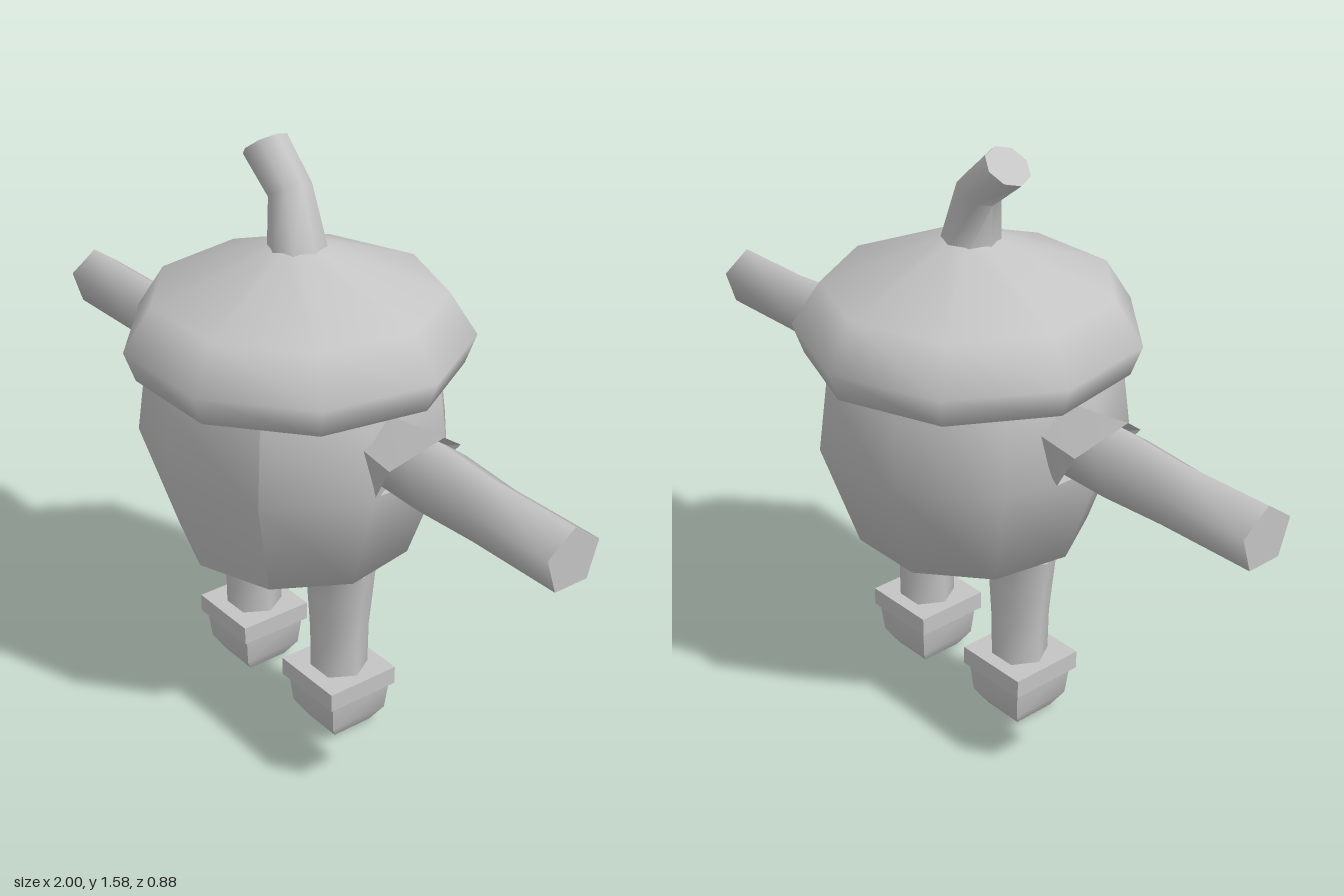
import * as THREE from 'three';
import { toCreasedNormals } from 'three/addons/utils/BufferGeometryUtils.js';

const rad = THREE.MathUtils.degToRad;
const grey = new THREE.MeshStandardMaterial({ color: 0xc4c4c4 });
grey.name = 'plain grey';

// Ring of n corners around (x, y, z), its axis tilted from +y about z (degrees)
function ring(x, y, z, r, n, tilt = 0, phase = 0) {
  const t = rad(tilt);
  return Array.from({ length: n }, (_, i) => {
    const a = rad(phase) + (i / n) * Math.PI * 2;
    const lx = r * Math.sin(a);
    return new THREE.Vector3(x + lx * Math.cos(t), y + lx * Math.sin(t), z + r * Math.cos(a));
  });
}

// Skin over successive rings, with flat caps at both ends
function loft(rings) {
  const n = rings[0].length, pos = [], idx = [];
  const first = rings[0], last = rings[rings.length - 1];
  [...rings, first, last].forEach(r => r.forEach(p => pos.push(p.x, p.y, p.z)));
  for (let k = 0; k < rings.length - 1; k++) {
    for (let i = 0; i < n; i++) {
      const j = (i + 1) % n, a = k * n + i, b = k * n + j;
      idx.push(a, b, b + n, a, b + n, a + n);
    }
  }
  const lo = rings.length * n, hi = lo + n;
  for (let i = 1; i < n - 1; i++) idx.push(lo, lo + i + 1, lo + i, hi, hi + i, hi + i + 1);
  const g = new THREE.BufferGeometry();
  g.setAttribute('position', new THREE.Float32BufferAttribute(pos, 3));
  g.setIndex(idx);
  g.computeVertexNormals();
  return g;
}

const lathe = (pts, segs, start, length) => new THREE.LatheGeometry(
  pts.map(p => new THREE.Vector2(p[0], p[1])), segs, rad(start), rad(length));

export function createModel() {
  const model = new THREE.Group();
  const add = (name, geometry, z = 0) => {
    const m = new THREE.Mesh(geometry, grey);
    m.name = name;
    m.position.z = z;
    model.add(m);
    return m;
  };

  // Nine-sided nut: rounded shell, with a creased panel over the front two sides
  const tip = [0, 0.33], low = [0.315, 0.51];
  const wall = [low, [0.415, 0.8], [0.392, 0.98], [0.37, 1.06]];
  add('shell', lathe([tip, ...wall], 7, 40, 280), 0.015);
  add('shellFrontTip', lathe([tip, low], 2, -40, 80), 0.015);
  const panel = lathe(wall, 2, -40, 80);
  panel.computeVertexNormals();
  add('shellFrontPanel', panel, 0.015);

  // Cap with a tucked-under rim
  add('cap', lathe([[0.34, 0.972], [0.425, 1.01], [0.454, 1.09], [0.38, 1.205], [0.072, 1.325], [0, 1.34]],
    9, 20, 360), 0.009);

  // Bent stem
  add('stem', toCreasedNormals(loft([
    ring(0, 1.31, 0.01, 0.078, 8),
    ring(-0.035, 1.458, 0.008, 0.058, 8, 29),
    ring(-0.142, 1.547, 0.005, 0.061, 8, 38),
  ]), rad(62)));

  for (const s of [1, -1]) {
    const side = s > 0 ? 'left' : 'right';
    const turn = -90 * s;
    const arm = (x, y, r) => ring(s * x, y, 0.01, r, 5, turn, turn);

    // Five-sided arm
    add(side + 'Arm', toCreasedNormals(loft([
      arm(0.32, 0.91, 0.088), arm(0.55, 0.91, 0.093), arm(0.73, 0.905, 0.083), arm(1, 0.905, 0.083),
    ]), rad(75)));

    // Flared shoulder cuff with a slanted, hollowed rim
    const slant = r => r.map(p => { p.x += s * 0.76 * (p.y - 0.9); return p; });
    add(side + 'ShoulderCuff', toCreasedNormals(loft([
      arm(0.32, 0.91, 0.085),
      slant(arm(0.472, 0.905, 0.118)),
      slant(arm(0.445, 0.905, 0.09)),
    ]), rad(30)));

    // Leg
    const x = 0.195 * s;
    add(side + 'Leg', loft([
      ring(x, 0.16, 0.02, 0.077, 6, 0, 30),
      ring(x, 0.3, 0.02, 0.079, 6, 0, 30),
      ring(x + 0.003 * s, 0.42, 0.02, 0.088, 6, 0, 30),
      ring(x + 0.01 * s, 0.5, 0.02, 0.09, 6, 0, 30),
    ]));

    // Square ankle band and tapered foot
    const band = add(side + 'AnkleBand', new THREE.BoxGeometry(0.216, 0.052, 0.216), 0.022);
    band.position.set(x, 0.154, 0.022);
    const square = (y, half) => ring(x, y, 0.02, half * Math.SQRT2, 4, 0, 45);
    add(side + 'Foot', toCreasedNormals(loft([
      square(0, 0.06), square(0.045, 0.088), square(0.135, 0.097),
    ]), rad(50)));
  }
  return model;
}
